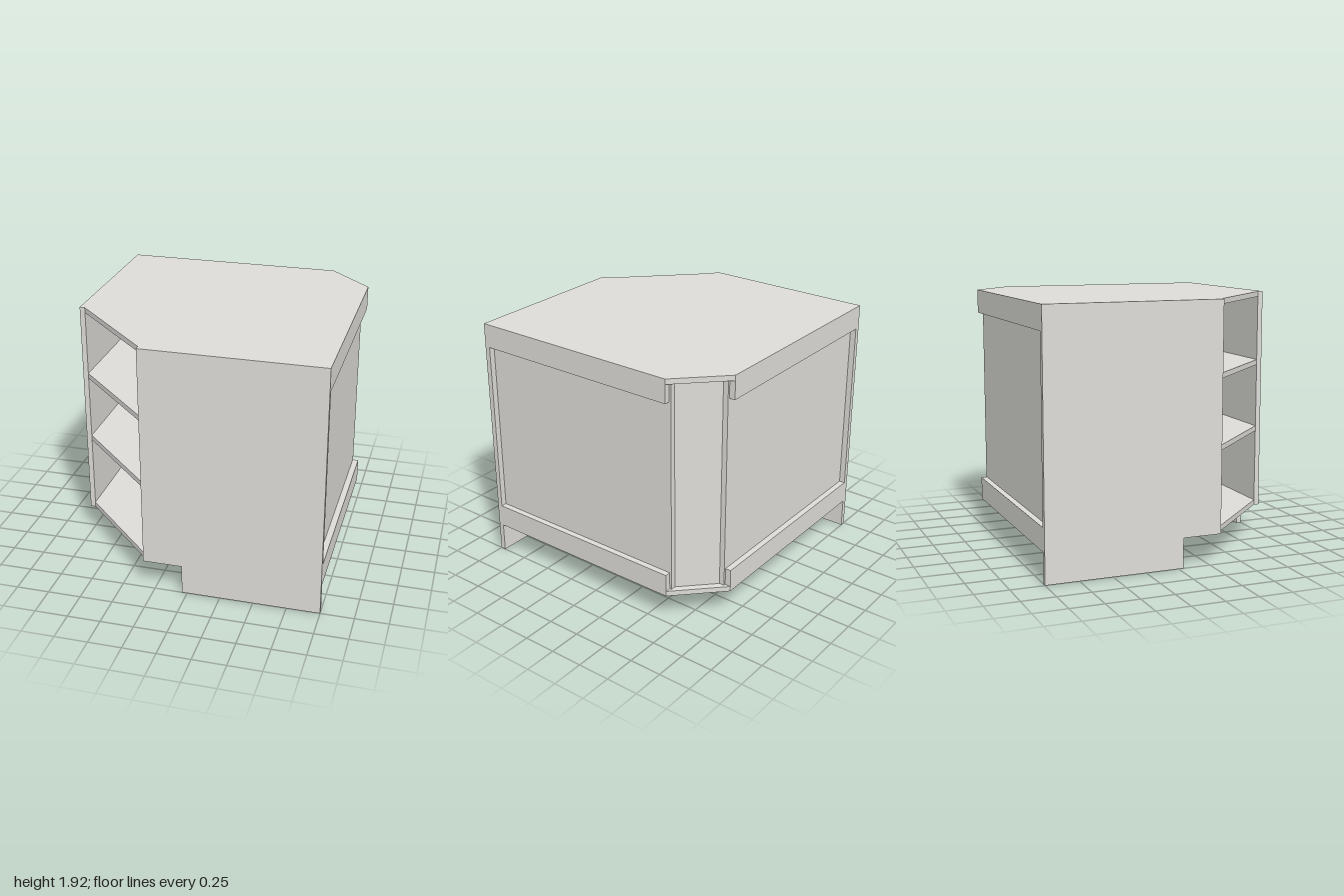
import * as THREE from 'three';

const T = 0.04;              // board thickness
const BASE = 0.225, TOP = 1.92;

export function createModel() {
  const group = new THREE.Group();
  group.name = 'cornerCabinet';
  const board = new THREE.MeshStandardMaterial({ color: 0xdddcd8 });
  board.name = 'paleGreyBoard';

  const add = (name, geometry) => {
    const mesh = new THREE.Mesh(geometry, board);
    mesh.name = name;
    group.add(mesh);
  };

  // Horizontal board from a plan outline of [x, z] points
  const slab = (name, plan, y0, y1) => {
    const shape = new THREE.Shape(plan.map(([x, z]) => new THREE.Vector2(x, -z)));
    const geo = new THREE.ExtrudeGeometry(shape, { depth: y1 - y0, bevelEnabled: false });
    add(name, geo.rotateX(-Math.PI / 2).translate(0, y0, 0));
  };

  const box = (name, x0, x1, y0, y1, z0, z1) => {
    const geo = new THREE.BoxGeometry(x1 - x0, y1 - y0, z1 - z0);
    add(name, geo.translate((x0 + x1) / 2, (y0 + y1) / 2, (z0 + z1) / 2));
  };

  // Top and bottom boards with both corners cut off
  const plan = [[-0.96, 0.335], [-0.335, 0.96], [1, 0.96], [1, -0.67], [0.67, -1], [-0.96, -1]];
  slab('topBoard', plan, TOP - T, TOP);
  slab('bottomBoard', plan, BASE, BASE + T);

  // Inner shelves, ending at the recessed panels
  const shelfPlan = [[-0.96, 0.335], [-0.335, 0.96], [0.915, 0.96],
    [0.915, -0.629], [0.629, -0.915], [-0.96, -0.915]];
  [0.825, 1.35].forEach((y, i) => slab('shelf' + (i + 1), shelfPlan, y, y + T));

  // Full-height outer panels with a toe notch near the opening
  const notched = () => {
    const s = new THREE.Shape([[-0.335, TOP], [-0.335, BASE], [-0.04, BASE], [-0.04, 0], [1, 0], [1, TOP]]
      .map(([x, y]) => new THREE.Vector2(x, y)));
    return new THREE.ExtrudeGeometry(s, { depth: T, bevelEnabled: false });
  };
  add('frontPanel', notched().translate(0, 0, 0.96));
  add('rightPanel', notched().rotateY(Math.PI / 2).translate(-1, 0, 0));

  // Recessed panels
  box('leftInnerPanel', 0.915, 0.955, BASE + T, TOP - T, -0.685, 0.96);
  box('backInnerPanel', -0.96, 0.685, BASE + T, TOP - T, -0.955, -0.915);

  // Rails above and below the recessed panels
  [['lower', BASE + T, 0.4], ['upper', 1.74, TOP - T]].forEach(([n, y0, y1]) => {
    box(n + 'LeftRail', 0.955, 1, y0, y1, -0.67, 0.96);
    box(n + 'BackRail', -0.96, 0.67, y0, y1, -1, -0.955);
  });

  // Diagonal panel closing the back corner
  slab('cornerPanel', [[0.915, -0.685], [0.685, -0.915], [0.629, -0.915], [0.915, -0.629]],
    BASE + T, TOP - T);

  return group;
}
